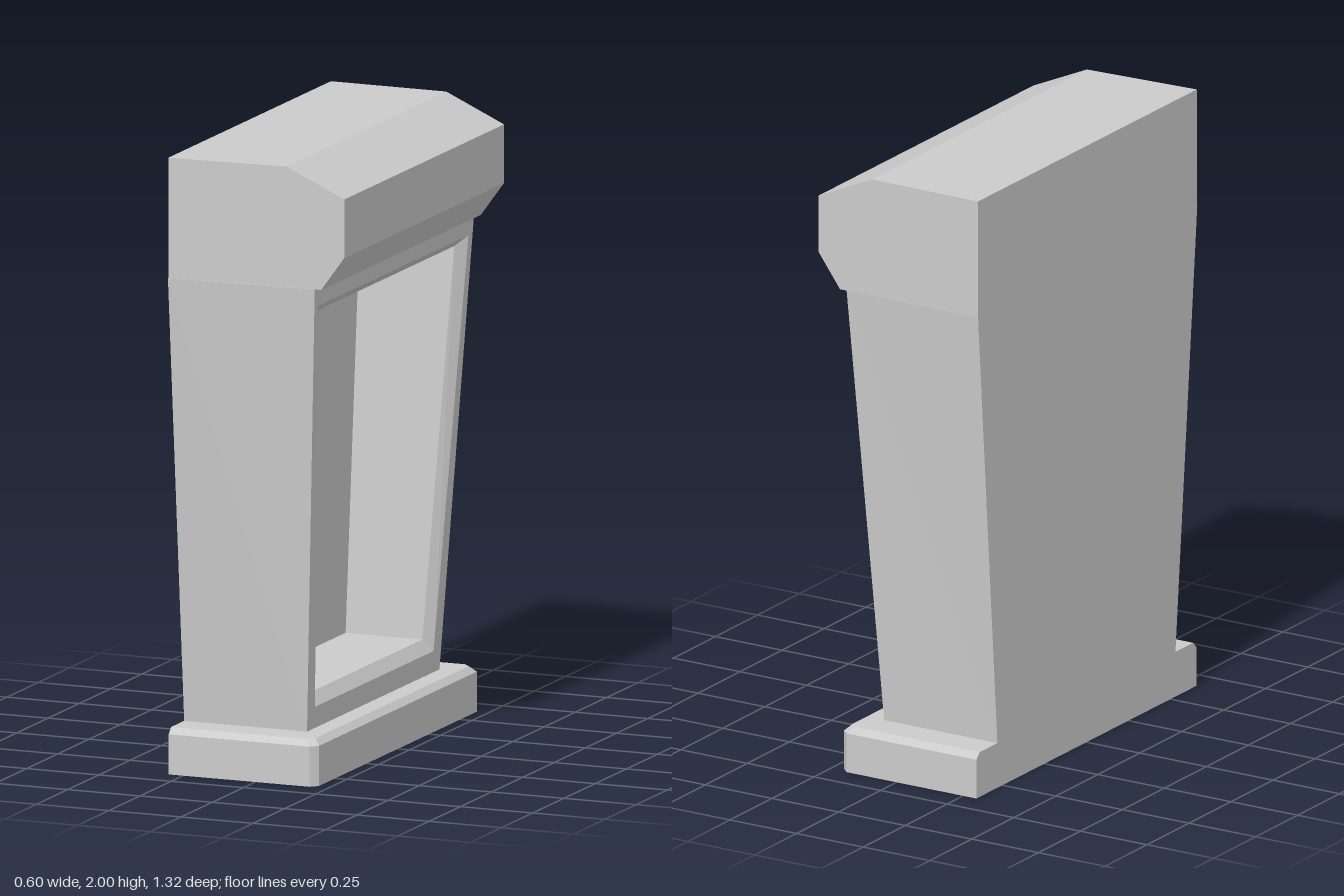
import * as THREE from 'three';

const material = new THREE.MeshStandardMaterial({ color: 0xcccccc, flatShading: true });

// Skin a closed solid through rings of equal point count (counterclockwise seen from the last ring)
function loft(name, rings) {
  const pos = [];
  const tri = (...pts) => pts.forEach((p) => pos.push(...p));
  const n = rings[0].length;
  for (let r = 0; r < rings.length - 1; r++) {
    const a = rings[r], b = rings[r + 1];
    for (let i = 0; i < n; i++) {
      const j = (i + 1) % n;
      tri(a[i], a[j], b[j]);
      tri(a[i], b[j], b[i]);
    }
  }
  const first = rings[0], last = rings[rings.length - 1];
  for (let i = 1; i < n - 1; i++) {
    tri(first[0], first[i + 1], first[i]);
    tri(last[0], last[i], last[i + 1]);
  }
  const geometry = new THREE.BufferGeometry();
  geometry.setAttribute('position', new THREE.Float32BufferAttribute(pos, 3));
  geometry.computeVertexNormals();
  const mesh = new THREE.Mesh(geometry, material);
  mesh.name = name;
  return mesh;
}

const BACK = -0.3;
// Leaning face of the body
const faceX = (y) => 0.125 + (y - 0.15) * 0.05;

// Trapezoid standing across z; x follows the given rule of height
function trapezoid(x, y0, y1, halfBottom, halfTop, halfTopFar = halfTop) {
  return [
    [x(y0), y0, halfBottom], [x(y0), y0, -halfBottom],
    [x(y1), y1, -halfTopFar], [x(y1), y1, halfTop],
  ];
}

// Plinth outline with clipped corners
function plinthRing(y, inset) {
  const x = 0.21 - inset, z = 0.655 - inset, c = 0.022;
  return [
    [BACK, y, z], [x - c, y, z], [x, y, z - c],
    [x, y, -z + c], [x - c, y, -z], [BACK, y, -z],
  ];
}

export function createModel() {
  const model = new THREE.Group();
  model.name = 'pedestal';

  // Plinth with bevelled top edge
  model.add(loft('plinth', [plinthRing(0, 0), plinthRing(0.13, 0), plinthRing(0.15, 0.02)]));

  // Tapered body: back, leaning face, bevelled opening, recessed panel
  model.add(loft('recessedBody', [
    trapezoid(() => BACK, 0.15, 1.61, 0.53, 0.66, 0.645),
    trapezoid(faceX, 0.15, 1.61, 0.53, 0.638),
    trapezoid(faceX, 0.22, 1.55, 0.475, 0.6),
    trapezoid((y) => faceX(y) - 0.03, 0.26, 1.52, 0.45, 0.56),
    trapezoid(() => -0.165, 0.26, 1.52, 0.45, 0.56),
  ]));

  // Overhanging cap; one end narrows slightly toward the overhang
  const profile = [
    [0.1, 1.61], [0.22, 1.61], [0.3, 1.72], [0.3, 1.91],
    [0.1, 2], [BACK, 2], [BACK, 1.61],
  ];
  model.add(loft('cap', [
    profile.map(([x, y]) => [x, y, x === BACK ? -0.645 : -0.642]),
    profile.map(([x, y]) => [x, y, x === BACK ? 0.657 : 0.637]),
  ]));

  return model;
}
